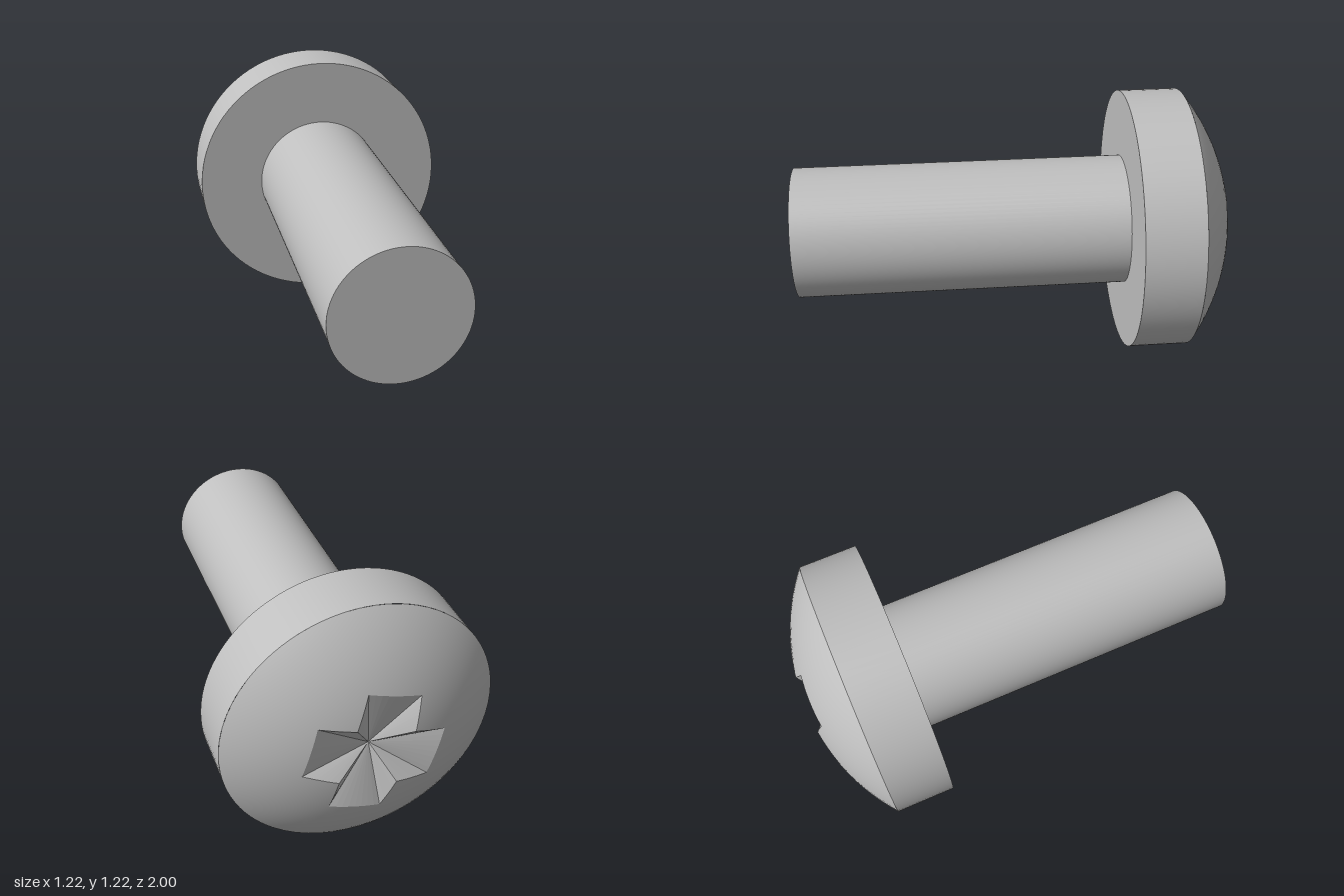
import * as THREE from 'three';

const HEAD_R = 0.61, SHAFT_R = 0.304, AXIS_Y = 0.61;
const RIM_Z = -0.8, SEAT_Z = -0.53, TIP_Z = 1;
const CAP = 0.218;                                   // dome height
const SPHERE_R = (HEAD_R ** 2 + CAP ** 2) / (2 * CAP);
const SPHERE_Z = RIM_Z - CAP + SPHERE_R;             // dome sphere centre

const domeZ = (x, y) => SPHERE_Z - Math.sqrt(SPHERE_R ** 2 - x * x - y * y);

// Outline of the cross recess, as points with subdivided edges
function crossOutline(sub = 8) {
  const corners = [];
  for (let k = 0; k < 4; k++) {
    const turn = THREE.MathUtils.degToRad(15.5 + 90 * k);
    for (const [u, v] of [[0.29, -0.12], [0.29, 0.12], [0.133, 0.133]]) {
      corners.push(new THREE.Vector2(u, v).rotateAround(new THREE.Vector2(), turn));
    }
  }
  const points = [];
  corners.forEach((c, i) => {
    const next = corners[(i + 1) % corners.length];
    for (let s = 0; s < sub; s++) points.push(c.clone().lerp(next, s / sub));
  });
  return points;
}

// Spherical dome from the recess outline out to the rim
function domeGeometry(outline, rings = 10) {
  const pos = [], nor = [], idx = [], n = outline.length;
  for (let j = 0; j <= rings; j++) {
    for (const p of outline) {
      const r = THREE.MathUtils.lerp(p.length(), HEAD_R, j / rings);
      const a = p.angle(), x = r * Math.cos(a), y = r * Math.sin(a), z = domeZ(x, y);
      pos.push(x, y, z);
      nor.push(x / SPHERE_R, y / SPHERE_R, (z - SPHERE_Z) / SPHERE_R);
    }
  }
  for (let j = 0; j < rings; j++) {
    for (let i = 0; i < n; i++) {
      const k = (i + 1) % n;
      const a = j * n + i, b = j * n + k, c = a + n, d = b + n;
      idx.push(a, b, c, b, d, c);
    }
  }
  const g = new THREE.BufferGeometry();
  g.setAttribute('position', new THREE.Float32BufferAttribute(pos, 3));
  g.setAttribute('normal', new THREE.Float32BufferAttribute(nor, 3));
  g.setIndex(idx);
  return g;
}

// Flat facets falling from the outline to one deep centre point
function recessGeometry(outline, depthZ) {
  const pos = [];
  outline.forEach((p, i) => {
    const q = outline[(i + 1) % outline.length];
    pos.push(0, 0, depthZ, q.x, q.y, domeZ(q.x, q.y), p.x, p.y, domeZ(p.x, p.y));
  });
  const g = new THREE.BufferGeometry();
  g.setAttribute('position', new THREE.Float32BufferAttribute(pos, 3));
  g.computeVertexNormals();
  return g;
}

// Cylinder along z between two positions
function barrel(radius, z0, z1, open) {
  return new THREE.CylinderGeometry(radius, radius, z1 - z0, 96, 1, open)
    .rotateX(Math.PI / 2).translate(0, 0, (z0 + z1) / 2);
}

export function createModel() {
  const steel = new THREE.MeshStandardMaterial({ color: 0xbfbfbf });
  steel.name = 'steel';
  const model = new THREE.Group();
  model.name = 'screw';
  const add = (name, geometry) => {
    const mesh = new THREE.Mesh(geometry, steel);
    mesh.name = name;
    mesh.position.y = AXIS_Y;
    model.add(mesh);
  };

  const outline = crossOutline();
  add('shaft', barrel(SHAFT_R, SEAT_Z, TIP_Z, false));
  add('headSide', barrel(HEAD_R, RIM_Z, SEAT_Z, true));
  add('headUnderside', new THREE.RingGeometry(SHAFT_R, HEAD_R, 96).translate(0, 0, SEAT_Z));
  add('headDome', domeGeometry(outline));
  add('crossRecess', recessGeometry(outline, -0.9));
  return model;
}
